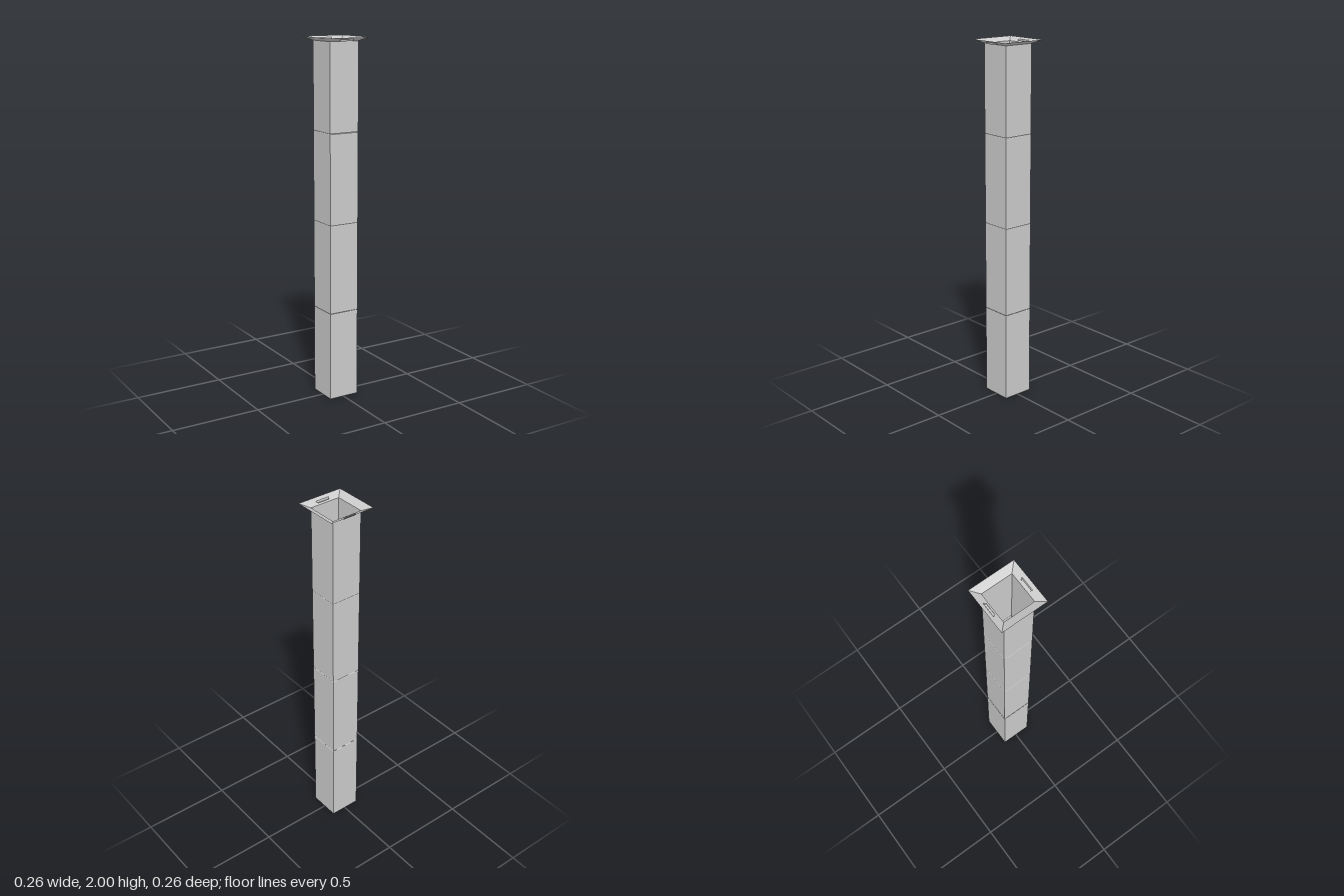
import * as THREE from 'three';

const HALF = 0.0875;      // half width of the shaft
const RIM = 0.131;        // half width of the flared rim
const NECK = 1.98;        // height where the rim starts
const SEGMENTS = 4;
const rimY = (r) => NECK + ((r - HALF) / (RIM - HALF)) * (2 - NECK);

const material = new THREE.MeshStandardMaterial({
  color: 0xcccccc, flatShading: true, side: THREE.DoubleSide,
});

function addMesh(parent, name, geometry) {
  const flat = geometry.index ? geometry.toNonIndexed() : geometry;
  flat.computeVertexNormals();
  const mesh = new THREE.Mesh(flat, material);
  mesh.name = name;
  parent.add(mesh);
  return mesh;
}

// Square shell swept from [half width, height] pairs
function squareShell(profile) {
  const points = profile.map(([r, y]) => new THREE.Vector2(r * Math.SQRT2, y));
  return new THREE.LatheGeometry(points, 4, Math.PI / 4);
}

// Trapezoid outline in (x, distance from centre)
const trapezoid = (w0, d0, w1, d1) => [[-w0, d0], [w0, d0], [w1, d1], [-w1, d1]]
  .map(([x, d]) => new THREE.Vector2(x, d));

// One sloping rim panel, optionally with a grip opening
function rimPanel(opening) {
  const shape = new THREE.Shape(trapezoid(HALF, HALF, RIM, RIM));
  if (opening) shape.holes.push(new THREE.Path(opening));
  const geometry = new THREE.ShapeGeometry(shape);
  const p = geometry.attributes.position;
  for (let i = 0; i < p.count; i++) {
    const d = p.getY(i);
    p.setXYZ(i, p.getX(i), rimY(d), d);
  }
  return geometry;
}

// Recessed tray: side walls from the opening down to a flat floor
function gripTray(opening, floor, floorY) {
  const positions = [];
  const top = opening.map((v) => [v.x, rimY(v.y), v.y]);
  const low = floor.map((v) => [v.x, floorY, v.y]);
  const quad = (a, b, c, d) => positions.push(...a, ...b, ...c, ...a, ...c, ...d);
  for (let i = 0; i < 4; i++) {
    const j = (i + 1) % 4;
    quad(top[i], top[j], low[j], low[i]);
  }
  quad(low[3], low[2], low[1], low[0]);
  const geometry = new THREE.BufferGeometry();
  geometry.setAttribute('position', new THREE.Float32BufferAttribute(positions, 3));
  return geometry;
}

export function createModel() {
  const model = new THREE.Group();
  model.name = 'squareShaft';

  // Stacked shaft sections, separated by fine grooves
  const height = 2 / SEGMENTS, bevel = 0.003, inset = HALF - 0.002;
  for (let i = 0; i < SEGMENTS; i++) {
    const y0 = i * height;
    const last = i === SEGMENTS - 1;
    const y1 = last ? NECK : y0 + height;
    const profile = [[inset, y0], [HALF, y0 + bevel]];
    if (last) profile.push([HALF, y1]);
    else profile.push([HALF, y1 - bevel], [inset, y1]);
    addMesh(model, `shaftSection${i + 1}`, squareShell(profile));
  }

  // Closed bottom
  const base = new THREE.PlaneGeometry(inset * 2, inset * 2).rotateX(Math.PI / 2);
  addMesh(model, 'bottomPlate', base);

  // Flared rim with a grip tray on the front and back panels
  const rim = new THREE.Group();
  rim.name = 'flaredRim';
  const opening = trapezoid(0.033, 0.098, 0.042, 0.111);
  const floor = trapezoid(0.032, 0.0985, 0.037, 0.108);
  ['front', 'left', 'back', 'right'].forEach((side, i) => {
    const panel = new THREE.Group();
    panel.name = `${side}RimSide`;
    panel.rotation.y = i * Math.PI / 2;
    const hasGrip = i % 2 === 0;
    addMesh(panel, `${side}RimPanel`, rimPanel(hasGrip && opening));
    if (hasGrip) addMesh(panel, `${side}GripTray`, gripTray(opening, floor, 1.981));
    rim.add(panel);
  });
  model.add(rim);

  return model;
}
